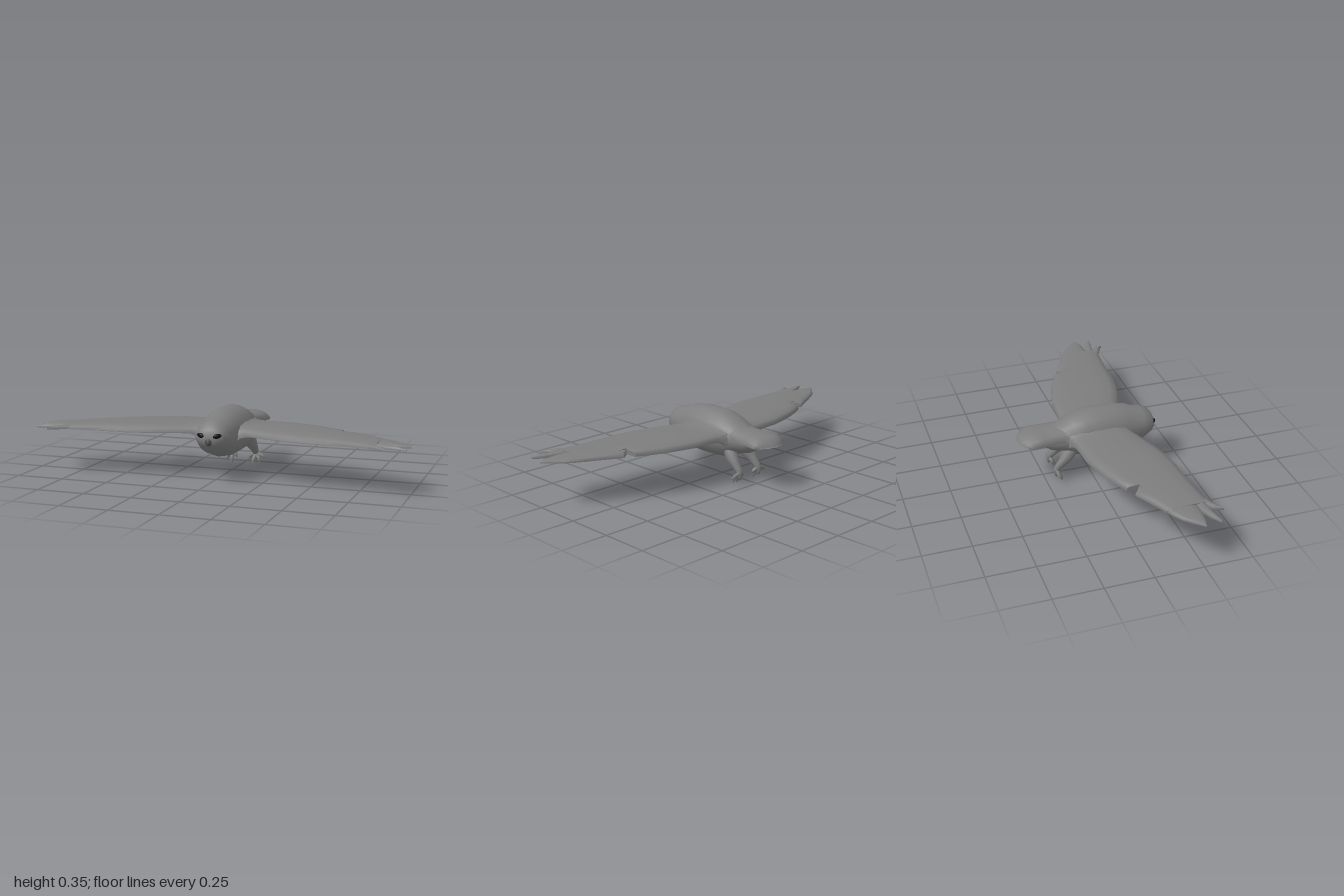
import * as THREE from 'three';
import { toCreasedNormals } from 'three/addons/utils/BufferGeometryUtils.js';

const plumage = new THREE.MeshStandardMaterial({ color: 0x7c7c7c });
const horn = new THREE.MeshStandardMaterial({ color: 0x4a4a4a });
const black = new THREE.MeshStandardMaterial({ color: 0x0c0c0c });
const V = (x, y, z) => new THREE.Vector3(x, y, z);

// Closed solid through rings of equal point count, turned to face outwards
function loft(rings, crease = 0.8) {
  const n = rings[0].length, last = rings.length - 1;
  const centre = (r) => r.reduce((a, p) => a.add(p), V(0, 0, 0)).divideScalar(n);
  const pts = [...rings.flat(), centre(rings[0]), centre(rings[last])];
  const tris = [];
  for (let j = 0; j < n; j++) {
    const k = (j + 1) % n;
    for (let i = 0; i < last; i++) {
      const a = i * n + j, b = i * n + k;
      tris.push([a, b, a + n], [b, b + n, a + n]);
    }
    tris.push([pts.length - 2, k, j], [pts.length - 1, last * n + j, last * n + k]);
  }
  let volume = 0;
  for (const [a, b, c] of tris) volume += pts[a].dot(V(0, 0, 0).crossVectors(pts[b], pts[c]));
  if (volume < 0) tris.forEach((t) => t.reverse());
  const g = new THREE.BufferGeometry().setFromPoints(pts);
  g.setIndex(tris.flat());
  return toCreasedNormals(g, crease);
}

function add(parent, name, geometry, material = plumage) {
  const m = new THREE.Mesh(geometry, material);
  m.name = name;
  parent.add(m);
  return m;
}

// Tapered limb: round rings [x, y, z, radius] facing along the path
function limb(path, sides = 8) {
  const c = path.map((p) => V(p[0], p[1], p[2]));
  return loft(path.map((p, i) => {
    const dir = c[Math.min(i + 1, c.length - 1)].clone().sub(c[Math.max(i - 1, 0)]).normalize();
    const q = new THREE.Quaternion().setFromUnitVectors(V(0, 1, 0), dir);
    return Array.from({ length: sides }, (_, j) => {
      const a = (j / sides) * Math.PI * 2;
      return V(Math.cos(a) * p[3], 0, Math.sin(a) * p[3]).applyQuaternion(q).add(c[i]);
    });
  }), 1.1);
}

// Body: [z, bottom, top, half width]
const BODY = [
  [0.362, 0.212, 0.258, 0.035], [0.352, 0.198, 0.282, 0.062], [0.335, 0.18, 0.306, 0.08],
  [0.29, 0.146, 0.325, 0.093], [0.25, 0.139, 0.33, 0.097], [0.21, 0.12, 0.349, 0.106],
  [0.13, 0.107, 0.361, 0.117], [0.05, 0.108, 0.361, 0.12], [-0.025, 0.11, 0.358, 0.118],
  [-0.095, 0.122, 0.336, 0.108], [-0.145, 0.152, 0.306, 0.094], [-0.21, 0.167, 0.285, 0.078],
  [-0.275, 0.207, 0.262, 0.05],
];
function bodyGeometry() {
  return loft(BODY.map(([z, lo, hi, w]) => Array.from({ length: 20 }, (_, j) => {
    const a = (j / 20) * Math.PI * 2;
    return V(Math.cos(a) * w, (lo + hi) / 2 + Math.sin(a) * (hi - lo) / 2, z);
  })), 1.2);
}

// Tail: flat below, domed above: [z, half width, top, rearward bow]
const TAIL = [
  [-0.11, 0.095, 0.305, 0], [-0.19, 0.088, 0.293, 0], [-0.26, 0.097, 0.289, 0],
  [-0.315, 0.106, 0.284, 0.02], [-0.333, 0.105, 0.266, 0.036], [-0.337, 0.1, 0.24, 0.049],
];
function tailGeometry() {
  return loft(TAIL.map(([z, w, top, bow]) => {
    const ring = [];
    const zAt = (u) => z - bow * (1 - u * u);
    for (let i = 0; i <= 10; i++) {
      const u = Math.cos((i / 10) * Math.PI);
      ring.push(V(u * w, 0.238 + (top - 0.238) * Math.pow(Math.max(0, 1 - u * u), 0.4), zAt(u)));
    }
    for (let i = 0; i <= 4; i++) {
      const u = -1 + i / 2;
      ring.push(V(u * w, 0.235, zAt(u)));
    }
    return ring;
  }));
}

// Wing stations: [x, front z, back z, thickness, underside y, notch cut z]
const FLAT = 0.235;
const WING = [
  [0.06, 0.21, -0.14, 0.13, 0.19], [0.1, 0.213, -0.132, 0.083, 0.207],
  [0.12, 0.218, -0.12, 0.062, 0.221], [0.15, 0.226, -0.115, 0.046, 0.232],
  [0.2, 0.242, -0.11, 0.042], [0.3, 0.278, -0.105, 0.042],
  [0.38, 0.298, -0.085, 0.041], [0.47, 0.312, -0.06, 0.039], [0.54, 0.314, -0.03, 0.037],
  [0.605, 0.317, 0, 0.035], [0.608, 0.317, 0.001, 0.035, FLAT, 0.062],
  [0.655, 0.32, 0.025, 0.032], [0.73, 0.326, 0.064, 0.029], [0.8, 0.332, 0.1, 0.025],
  [0.835, 0.333, 0.116, 0.023],
];
// Feathers that split off at the wing tip
const FEATHERS = [
  [[0.825, 0.272, 0.114, 0.022], [0.87, 0.272, 0.135, 0.021], [0.915, 0.27, 0.163, 0.018],
    [0.955, 0.264, 0.202, 0.015], [0.997, 0.249, 0.243, 0.01]],
  [[0.825, 0.31, 0.262, 0.021], [0.88, 0.318, 0.272, 0.019], [0.94, 0.328, 0.297, 0.016],
    [0.985, 0.334, 0.328, 0.01]],
  [[0.79, 0.328, 0.28, 0.018], [0.83, 0.345, 0.302, 0.019], [0.87, 0.364, 0.331, 0.017],
    [0.893, 0.38, 0.372, 0.01]],
];
const PROFILE = [[0, 0.15], [0.03, 0.55], [0.12, 0.85], [0.3, 1], [0.6, 1], [0.85, 0.88], [0.97, 0.7], [1, 0.4]];
function airfoil(stations, s) {
  return loft(stations.map(([x, front, back, h, base = FLAT, cut = back]) => {
    const point = (t, k) => V(s * x, base + h * k, Math.max(cut, front + (back - front) * t));
    return [...PROFILE.map(([t, k]) => point(t, k)), ...[1, 0.66, 0.33, 0].map((t) => point(t, 0))];
  }), 0.9);
}

// Ankle, and toe tips of the left foot
const ANKLE = V(0.07, 0.068, -0.196);
const TOES = [[0.123, 0.043, -0.188], [0.098, 0.018, -0.172], [0.06, 0.008, -0.165], [0.034, 0.04, -0.182], [0.07, 0.028, -0.198]];
// Share of the way to the tip: [across, down, forward, radius]
const TOE_BEND = [[0, 0, 0, 0.011], [0.6, 0.45, 0.55, 0.011], [0.85, 0.75, 0.85, 0.008], [1, 1, 1, 0.002]];

export function createModel() {
  const bird = new THREE.Group();
  bird.name = 'bird';
  add(bird, 'body', bodyGeometry());
  add(bird, 'tail', tailGeometry());
  add(bird, 'beak', limb([[0, 0.22, 0.342, 0.025], [0, 0.218, 0.36, 0.02], [0, 0.208, 0.374, 0.004]]), horn);

  for (const s of [1, -1]) {
    const side = s > 0 ? 'left' : 'right';

    const eye = add(bird, side + 'Eye', new THREE.SphereGeometry(1, 14, 10), black);
    eye.scale.set(0.023, 0.013, 0.01);
    eye.position.set(s * 0.045, 0.252, 0.352);
    eye.rotation.set(0, s * 0.5, s * 0.1);

    const wing = new THREE.Group();
    wing.name = side + 'Wing';
    add(wing, 'wingBlade', airfoil(WING, s));
    FEATHERS.forEach((f) => add(wing, 'tipFeather', airfoil(f, s)));
    bird.add(wing);

    // Leg swept back, with spread toes bent at the knuckle
    const leg = new THREE.Group();
    leg.name = side + 'Leg';
    add(leg, 'shank', limb([
      [s * 0.05, 0.18, -0.1, 0.036], [s * 0.06, 0.14, -0.13, 0.035], [s * 0.066, 0.107, -0.16, 0.024],
      [s * 0.068, 0.08, -0.187, 0.019], [s * 0.07, 0.062, -0.198, 0.014],
    ], 10));
    for (const [x, y, z] of TOES) {
      add(leg, 'toe', limb(TOE_BEND.map(([a, b, c, r]) => [
        s * (ANKLE.x + (x - ANKLE.x) * a), ANKLE.y + (y - ANKLE.y) * b, ANKLE.z + (z - ANKLE.z) * c, r,
      ]), 6));
    }
    bird.add(leg);
  }
  return bird;
}
